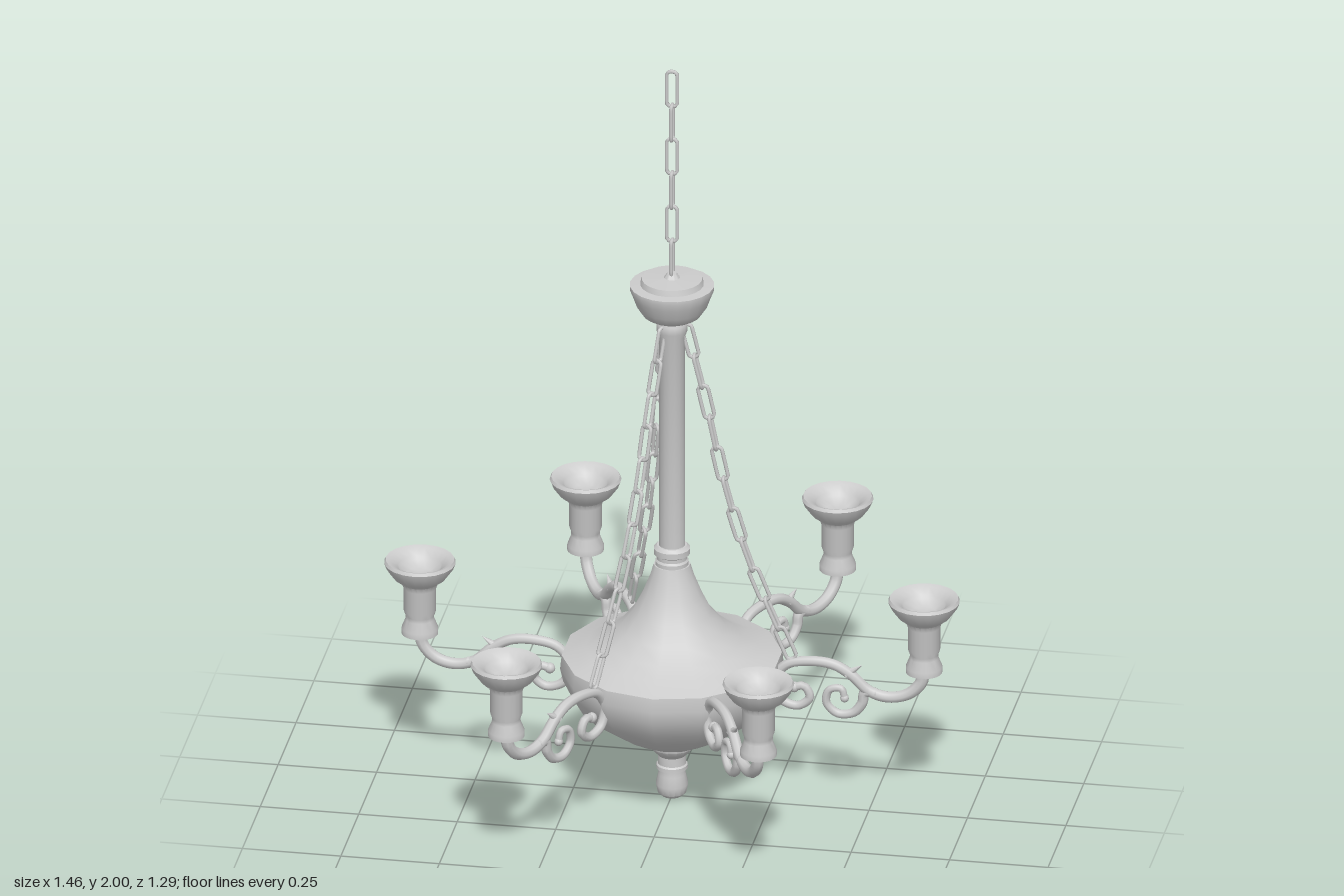
import * as THREE from 'three';
import { toCreasedNormals } from 'three/addons/utils/BufferGeometryUtils.js';

const material = new THREE.MeshStandardMaterial({ color: 0xcccccc });

function mesh(name, geometry) {
  const m = new THREE.Mesh(geometry, material);
  m.name = name;
  return m;
}

// Turned part from [radius, height] pairs, listed from the underside round to the top
function turned(name, profile, sides) {
  const points = profile.map(([r, y]) => new THREE.Vector2(r, y));
  return mesh(name, toCreasedNormals(new THREE.LatheGeometry(points, sides), 0.65));
}

// Bar bent along a path in the xy plane, tapering from r0 to r1, with a rounded tip
function taperedBar(name, path, r0, r1, steps = 40) {
  const curve = new THREE.CatmullRomCurve3(path.map(([x, y]) => new THREE.Vector3(x, y, 0)));
  const sides = 8;
  const geometry = new THREE.TubeGeometry(curve, steps, 1, sides);
  const pos = geometry.attributes.position;
  const v = new THREE.Vector3();
  for (let i = 0; i <= steps; i++) {
    const c = curve.getPointAt(i / steps);
    const r = THREE.MathUtils.lerp(r0, r1, i / steps);
    for (let j = 0; j <= sides; j++) {
      const k = i * (sides + 1) + j;
      v.fromBufferAttribute(pos, k).sub(c).multiplyScalar(r).add(c);
      pos.setXYZ(k, v.x, v.y, v.z);
    }
  }
  const group = new THREE.Group();
  group.name = name;
  const tip = mesh('scrollTip', new THREE.SphereGeometry(r1 * 1.25, 10, 8));
  tip.position.copy(curve.getPointAt(1));
  group.add(mesh('bar', geometry), tip);
  return group;
}

// Oblong chain link with clipped corners, long axis on y
function linkGeometry(width, length, wire) {
  const w = width / 2 - wire, h = length / 2 - wire, c = w * 0.6;
  const corners = [[w, -h + c], [w, h - c], [w - c, h], [c - w, h],
    [-w, h - c], [-w, -h + c], [c - w, -h], [w - c, -h]];
  const curve = new THREE.CatmullRomCurve3(
    corners.map(([x, y]) => new THREE.Vector3(x, y, 0)), true, 'catmullrom', 0.15);
  return new THREE.TubeGeometry(curve, 28, wire, 6, true);
}

// Links strung along a curve, every other one turned a quarter
function chain(name, curve, count, geometry) {
  const group = new THREE.Group();
  group.name = name;
  for (let i = 0; i < count; i++) {
    const t = (i + 0.5) / count;
    const link = mesh('link', geometry);
    const d = curve.getTangentAt(t);
    link.position.copy(curve.getPointAt(t));
    link.rotation.set(0, (i % 2) * Math.PI / 2, Math.atan2(d.x, -d.y), 'ZYX');
    group.add(link);
  }
  return group;
}

// One scrolled arm pointing along +x, with its candle cup
function createArm() {
  const arm = new THREE.Group();
  arm.name = 'arm';
  arm.add(taperedBar('mainScroll', [[0.64, 0.41], [0.633, 0.365], [0.6, 0.33], [0.55, 0.317],
    [0.5, 0.33], [0.455, 0.37], [0.41, 0.395], [0.35, 0.4], [0.29, 0.385], [0.26, 0.34],
    [0.275, 0.29], [0.32, 0.275], [0.35, 0.3], [0.335, 0.33], [0.31, 0.325]], 0.016, 0.011, 70));
  arm.add(taperedBar('lowerScroll', [[0.52, 0.325], [0.49, 0.325], [0.483, 0.295], [0.46, 0.267],
    [0.42, 0.262], [0.392, 0.29], [0.4, 0.325], [0.43, 0.33], [0.438, 0.305]], 0.014, 0.009));

  // Small leaf spur on the back of the arm
  const spur = mesh('leafSpur', new THREE.ConeGeometry(0.014, 0.05, 8));
  spur.position.set(0.463, 0.385, 0);
  spur.rotation.z = -0.95;
  arm.add(spur);

  const cup = turned('candleCup', [[0, 0.39], [0.034, 0.39], [0.046, 0.395], [0.046, 0.41],
    [0.036, 0.435], [0.036, 0.445], [0.041, 0.46], [0.041, 0.52], [0.046, 0.535], [0.066, 0.55],
    [0.084, 0.575], [0.09, 0.59], [0.086, 0.598], [0.075, 0.594], [0.056, 0.58],
    [0.052, 0.572], [0.03, 0.56], [0, 0.557]], 20);
  cup.position.x = 0.64;
  cup.geometry.computeBoundingSphere();
  arm.add(cup);
  return arm;
}

export function createModel() {
  const model = new THREE.Group();
  model.name = 'chandelier';

  // Central turned column, from the finial up to the canopy
  model.add(turned('finial', [[0, 0], [0.025, 0.002], [0.036, 0.012], [0.041, 0.035], [0.035, 0.062],
    [0.034, 0.075], [0.04, 0.078], [0.04, 0.088], [0.036, 0.092], [0.036, 0.115],
    [0.045, 0.125], [0.058, 0.14], [0.06, 0.16]], 16));
  model.add(turned('bowl', [[0, 0.145], [0.05, 0.148], [0.1, 0.165], [0.16, 0.2], [0.21, 0.235],
    [0.25, 0.275], [0.272, 0.32], [0.28, 0.355], [0.276, 0.392], [0.218, 0.412], [0.175, 0.435],
    [0.135, 0.467], [0.1, 0.51], [0.075, 0.56], [0.055, 0.61], [0.046, 0.64], [0, 0.64]], 14));
  model.add(turned('collar', [[0, 0.635], [0.042, 0.635], [0.042, 0.65], [0.038, 0.655], [0.038, 0.665],
    [0.046, 0.67], [0.046, 0.685], [0.038, 0.693], [0, 0.693]], 16));
  model.add(turned('stem', [[0.033, 0.68], [0.033, 1.27], [0.039, 1.285], [0.039, 1.305],
    [0.03, 1.32], [0.03, 1.335]], 16));
  model.add(turned('canopy', [[0, 1.322], [0.06, 1.322], [0.073, 1.33], [0.088, 1.352], [0.098, 1.38],
    [0.106, 1.4], [0.106, 1.41], [0.08, 1.412], [0.076, 1.427], [0.02, 1.43], [0.012, 1.442],
    [0, 1.445]], 20));

  // Ceiling chain
  const drop = new THREE.LineCurve3(new THREE.Vector3(0, 1.996, 0), new THREE.Vector3(0, 1.438, 0));
  model.add(chain('ceilingChain', drop, 6, linkGeometry(0.036, 0.106, 0.005)));

  // Six arms, every second one carrying a stay chain
  const sag = new THREE.CatmullRomCurve3([[0.036, 1.3], [0.085, 1.1], [0.135, 0.87], [0.195, 0.67],
    [0.305, 0.405]].map(([x, y]) => new THREE.Vector3(x, y, 0)));
  const stayLink = linkGeometry(0.036, 0.1, 0.005);
  for (let i = 0; i < 6; i++) {
    const arm = createArm();
    arm.rotation.y = i * Math.PI / 3;
    if (i % 2 === 0) arm.add(chain('stayChain', sag, 11, stayLink));
    model.add(arm);
  }
  return model;
}
